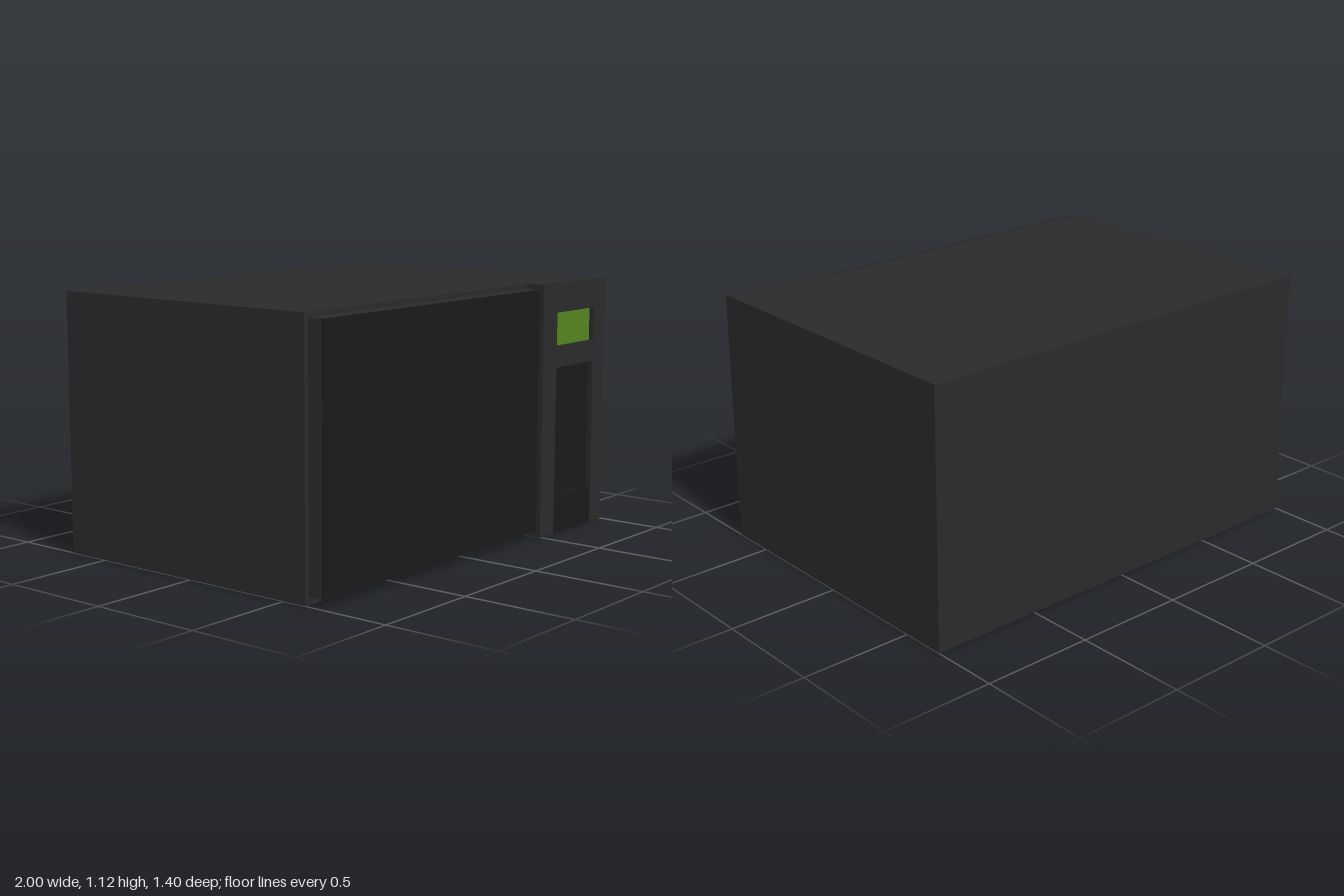
import * as THREE from 'three';

const H = 1.125; // cabinet height
const FRONT = 0.7; // front plane of the control panel
const RECESS = 0.025; // depth of the display and keypad pockets

const shell = new THREE.MeshStandardMaterial({ color: 0x2a2a2a });
const dark = new THREE.MeshStandardMaterial({ color: 0x1a1a1a });
const green = new THREE.MeshStandardMaterial({ color: 0x55841f });

const polygon = (points) => new THREE.Shape(points.map(([x, y]) => new THREE.Vector2(x, y)));

// Box given by its extents on each axis
function box(name, [x0, x1], [y0, y1], [z0, z1], material) {
  const mesh = new THREE.Mesh(new THREE.BoxGeometry(x1 - x0, y1 - y0, z1 - z0), material);
  mesh.position.set((x0 + x1) / 2, (y0 + y1) / 2, (z0 + z1) / 2);
  mesh.name = name;
  return mesh;
}

export function createModel() {
  const model = new THREE.Group();
  model.name = 'microwaveOven';

  // Cabinet: L-shaped plan, stepped back where the door sits
  const back = FRONT - RECESS;
  const plan = polygon([[-1, 0.7], [-1, -0.61], [0.49, -0.61], [0.49, -back], [1, -back], [1, 0.7]]);
  const cabinetGeometry = new THREE.ExtrudeGeometry(plan, { depth: H, bevelEnabled: false });
  cabinetGeometry.rotateX(-Math.PI / 2);
  const cabinet = new THREE.Mesh(cabinetGeometry, shell);
  cabinet.name = 'cabinet';
  model.add(cabinet);

  // Control panel: slot for keypad and button, window for the display
  const column = [0.6, 0.905];
  const [l, r] = column;
  const face = polygon([
    [0.49, 0], [l, 0], [l, 0.75], [r, 0.75], [r, 0], [1, 0], [1, H], [0.49, H],
  ]);
  face.holes.push(polygon([[l, 0.845], [l, 0.995], [r, 0.995], [r, 0.845]]));
  const panel = new THREE.Mesh(
    new THREE.ExtrudeGeometry(face, { depth: RECESS, bevelEnabled: false }), shell);
  panel.position.z = back;
  panel.name = 'controlPanel';
  model.add(panel);

  // Parts set into the control panel
  model.add(
    box('display', column, [0.845, 0.995], [back - 0.01, back + 0.002], green),
    box('keypad', column, [0.17, 0.75], [back - 0.01, back + 0.002], dark),
    box('doorButton', column, [0, 0.17], [back, FRONT], dark),
  );

  // Door slab with a dark front, standing just clear of the cabinet
  const door = new THREE.Group();
  door.name = 'door';
  const width = [-0.985, 0.47];
  const height = [0.035, 1.105];
  door.add(
    box('doorFrame', width, height, [0.617, 0.685], shell),
    box('doorGlass', width, height, [0.685, 0.692], dark),
  );
  model.add(door);

  return model;
}
